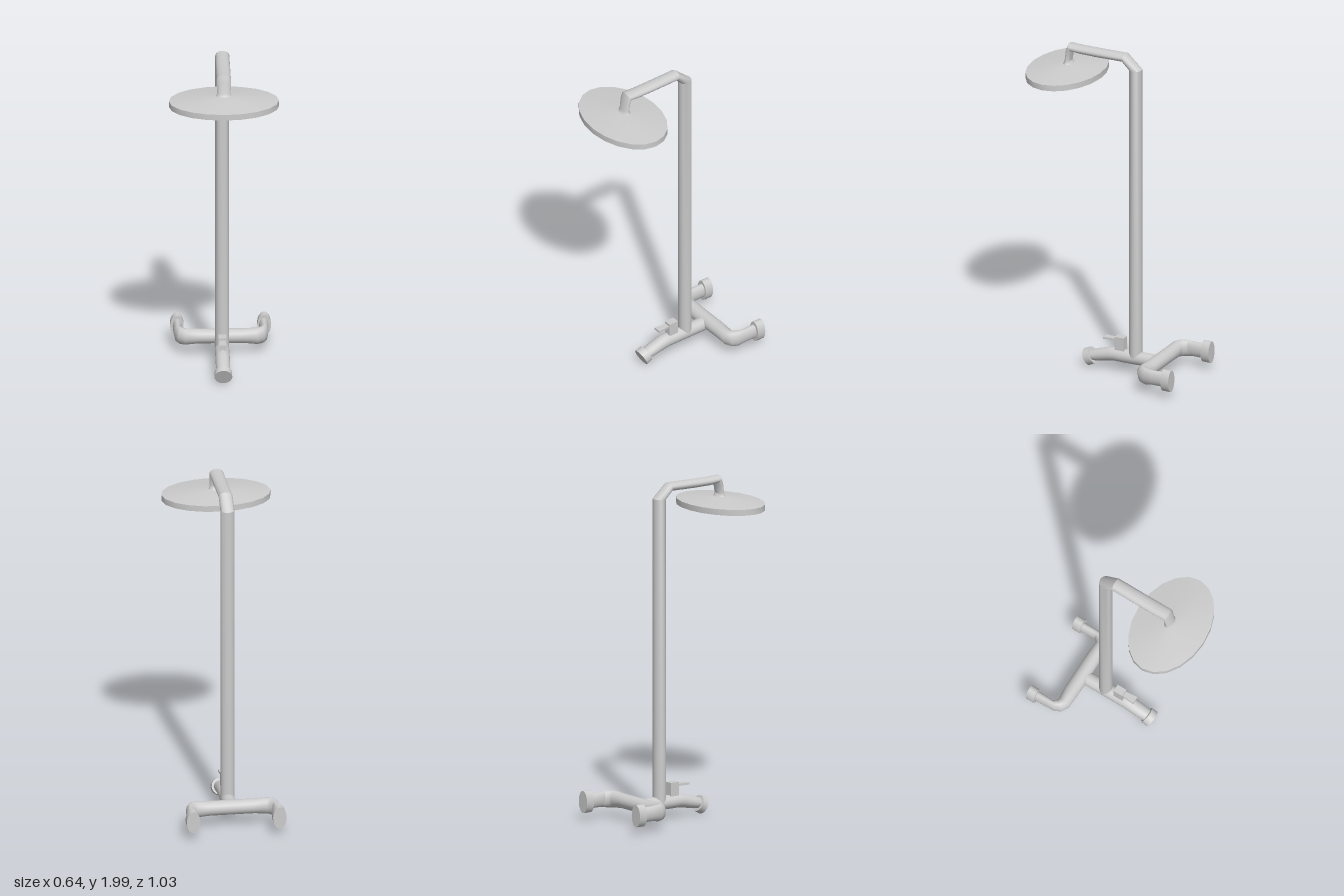
import * as THREE from 'three';
import { toCreasedNormals } from 'three/addons/utils/BufferGeometryUtils.js';

const material = new THREE.MeshStandardMaterial({ color: 0xcccccc });

function addMesh(group, name, geometry, crease = 0.6) {
  const mesh = new THREE.Mesh(toCreasedNormals(geometry, crease), material);
  mesh.name = name;
  group.add(mesh);
  return mesh;
}

// Pipe lofted through oval rings. Each ring gives its two edge points in the
// plane of the bend and its half width along the axis across that plane.
function pipe(rings, axis, sides = 20) {
  const positions = [], index = [];
  const centres = rings.map(([a, b]) => a.clone().add(b).multiplyScalar(0.5));
  rings.forEach(([a, b, width], r) => {
    const v = a.clone().sub(b).multiplyScalar(0.5);
    for (let i = 0; i < sides; i++) {
      const t = (i / sides) * Math.PI * 2;
      const p = centres[r].clone()
        .addScaledVector(axis, width * Math.cos(t))
        .addScaledVector(v, Math.sin(t));
      positions.push(p.x, p.y, p.z);
    }
  });
  const start = rings.length * sides, last = start - sides;
  positions.push(...centres[0].toArray(), ...centres[rings.length - 1].toArray());
  for (let i = 0; i < sides; i++) {
    const j = (i + 1) % sides;
    for (let r = 0; r < rings.length - 1; r++) {
      const p = r * sides, q = p + sides;
      index.push(p + i, p + j, q + i, p + j, q + j, q + i);
    }
    index.push(start, j, i, start + 1, last + i, last + j);
  }
  const geometry = new THREE.BufferGeometry();
  geometry.setAttribute('position', new THREE.Float32BufferAttribute(positions, 3));
  geometry.setIndex(index);
  return geometry;
}

const X = new THREE.Vector3(1, 0, 0);
const Y = new THREE.Vector3(0, 1, 0);
// Ring in the upright middle plane, from z, y edge points
const upright = ([z1, y1, z2, y2, w]) =>
  [new THREE.Vector3(0, y1, z1), new THREE.Vector3(0, y2, z2), w];

export function createModel() {
  const group = new THREE.Group();

  // Riser, angled bend, overhead arm and drop neck in one pipe
  addMesh(group, 'riserAndArm', pipe([
    [-0.19, 0.11, -0.114, 0.11, 0.041],
    [-0.19, 1.91, -0.114, 1.905, 0.041],
    [-0.09, 1.998, -0.075, 1.947, 0.041],
    [0.1, 1.995, 0.1, 1.944, 0.041],
    [0.2, 1.994, 0.2, 1.945, 0.041],
    [0.28, 1.997, 0.257, 1.95, 0.041],
    [0.295, 1.955, 0.262, 1.93, 0.041],
    [0.304, 1.89, 0.268, 1.89, 0.039],
    [0.312, 1.875, 0.26, 1.875, 0.043],
    [0.325, 1.862, 0.245, 1.862, 0.052],
  ].map(upright), X));

  // Oval shower head
  const profile = [[0, 1.81], [0.32, 1.81], [0.32, 1.845], [0.05, 1.872], [0, 1.874]]
    .map(([x, y]) => new THREE.Vector2(x, y));
  const head = new THREE.LatheGeometry(profile, 20);
  head.scale(1, 1, 0.68).translate(0, 0, 0.295);
  addMesh(group, 'showerHead', head, 0.5);

  // Body pipe running forward to the spout
  addMesh(group, 'spoutPipe', pipe([
    [-0.31, 0.145, -0.31, 0.065, 0.041],
    [-0.02, 0.146, -0.02, 0.064, 0.042],
    [0.015, 0.142, 0.005, 0.061, 0.042],
    [0.095, 0.117, 0.075, 0.047, 0.041],
    [0.14, 0.102, 0.115, 0.042, 0.038],
  ].map(upright), X));

  // Spout collar
  const collar = new THREE.CylinderGeometry(0.052, 0.05, 0.04, 20);
  collar.rotateX(Math.PI / 2 + 0.43).translate(0, 0.063, 0.145);
  addMesh(group, 'spoutCollar', collar);

  // Cross bar with an elbow to each wall inlet: outer x, z, inner x, z, half height, centre y
  const half = [
    [0.08, -0.267, 0.08, -0.357, 0.043, 0.117],
    [0.13, -0.268, 0.13, -0.357, 0.043, 0.117],
    [0.21, -0.272, 0.205, -0.35, 0.049, 0.115],
    [0.253, -0.297, 0.215, -0.355, 0.051, 0.115],
    [0.271, -0.334, 0.23, -0.372, 0.05, 0.115],
    [0.276, -0.39, 0.226, -0.395, 0.045, 0.117],
    [0.278, -0.48, 0.223, -0.48, 0.045, 0.117],
  ];
  const side = (s) => half.map(([x1, z1, x2, z2, h, y]) =>
    [new THREE.Vector3(s * x1, y, z1), new THREE.Vector3(s * x2, y, z2), h]);
  addMesh(group, 'inletBar', pipe([...side(-1).reverse(), ...side(1)], Y));

  // Wall inlet nuts
  for (const s of [-1, 1]) {
    const nut = new THREE.CylinderGeometry(0.066, 0.066, 0.052, 24);
    nut.rotateX(Math.PI / 2).scale(0.6, 1, 1).translate(s * 0.253, 0.116, -0.49);
    addMesh(group, s > 0 ? 'leftInletNut' : 'rightInletNut', nut);
  }

  // Control block on the body pipe
  const block = new THREE.BoxGeometry(0.046, 0.1, 0.06).translate(0, 0.17, -0.055);
  addMesh(group, 'controlBlock', block);

  // Thin lever, a little wider at its tip
  const lever = new THREE.BoxGeometry(0.032, 0.012, 0.08).translate(0, 0.2, 0.01);
  const p = lever.attributes.position;
  for (let i = 0; i < p.count; i++) {
    if (p.getZ(i) > 0) p.setX(i, p.getX(i) * 1.45);
  }
  addMesh(group, 'controlLever', lever);

  return group;
}
